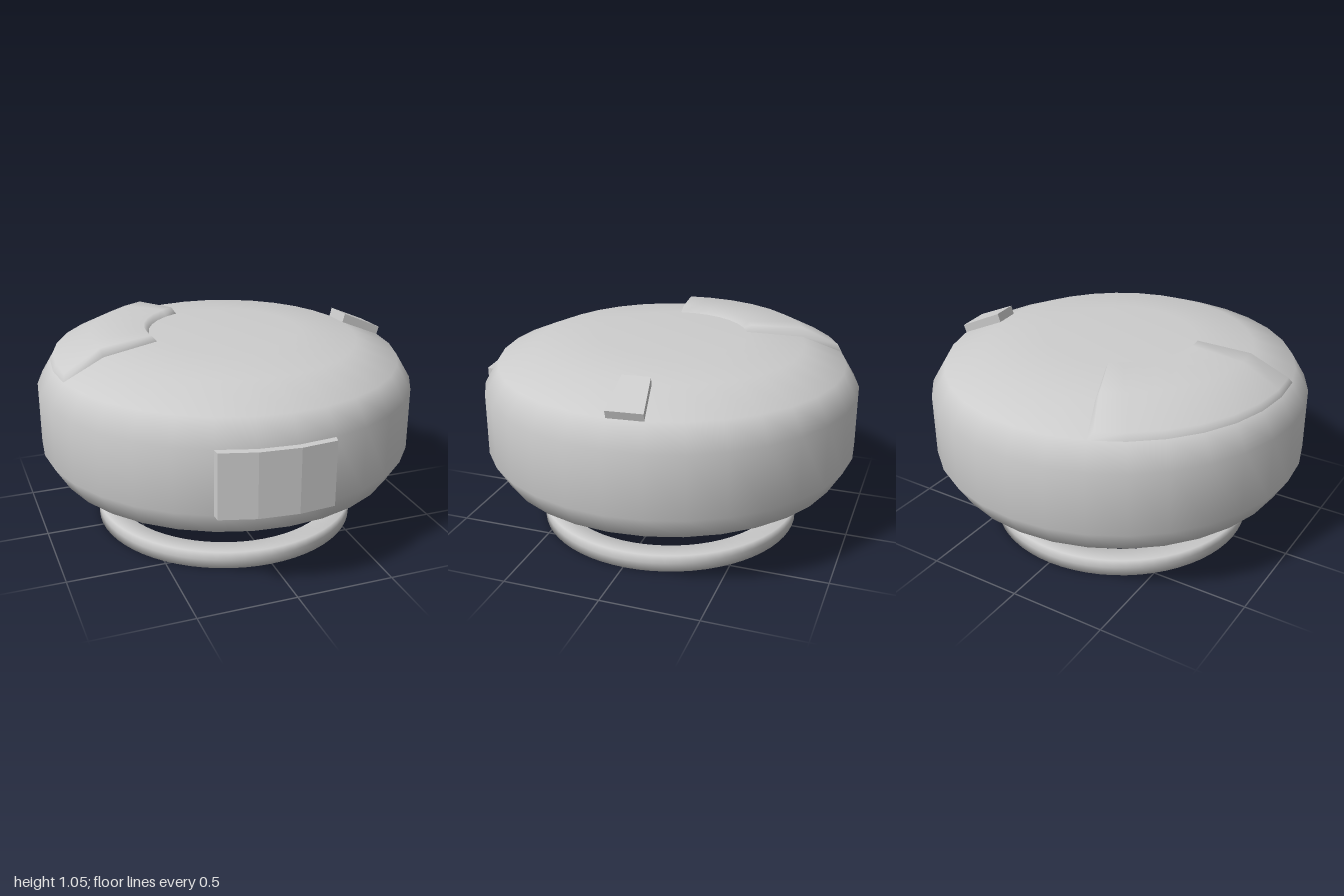
import * as THREE from 'three';

const STEP = Math.PI / 16; // one facet of the 32-sided body

// Raised panel over body facets: base and top are [radius, height] profiles listed upwards
function raisedPanel(base, top, firstFacet, facets, inset, smooth) {
  const rows = base.length, cols = facets + 1, pos = [], index = [];
  for (const [profile, cut] of [[base, 0], [top, inset]]) {
    for (const [r, y] of profile) {
      for (let i = 0; i < cols; i++) {
        const edge = i === 0 ? cut : i === facets ? -cut : 0;
        const a = (firstFacet + i) * STEP + edge;
        pos.push(r * Math.sin(a), y, r * Math.cos(a));
      }
    }
  }
  const n = rows * cols;
  const quad = (a, b, c, d) => index.push(a, b, c, a, c, d);
  for (let j = 0; j < rows - 1; j++) {
    for (let i = 0; i < facets; i++) {
      const k = n + j * cols + i;
      quad(k, k + 1, k + 1 + cols, k + cols);
    }
  }
  // Side walls around the outline
  const loop = [];
  for (let i = 0; i < facets; i++) loop.push(i);
  for (let j = 0; j < rows - 1; j++) loop.push(j * cols + facets);
  for (let i = facets; i > 0; i--) loop.push((rows - 1) * cols + i);
  for (let j = rows - 1; j > 0; j--) loop.push(j * cols);
  loop.forEach((p, k) => {
    const q = loop[(k + 1) % loop.length];
    quad(p, q, q + n, p + n);
  });
  let geo = new THREE.BufferGeometry();
  geo.setAttribute('position', new THREE.Float32BufferAttribute(pos, 3));
  geo.setIndex(index);
  if (!smooth) geo = geo.toNonIndexed();
  geo.computeVertexNormals();
  return geo;
}

const lathe = (points, sides) =>
  new THREE.LatheGeometry(points.map(([r, y]) => new THREE.Vector2(r, y)), sides);

export function createModel() {
  const model = new THREE.Group();
  const grey = new THREE.MeshStandardMaterial({ color: 0xcccccc });
  grey.name = 'light grey';
  const add = (name, geo, parent) => {
    const mesh = new THREE.Mesh(geo, grey);
    mesh.name = name;
    parent.add(mesh);
    return mesh;
  };

  // Rounded drum body with its panels
  const drum = new THREE.Group();
  drum.name = 'drum';
  drum.position.z = -0.02;
  model.add(drum);
  add('body', lathe([
    [0, 0.2], [0.39, 0.2], [0.69, 0.233], [0.905, 0.32], [0.98, 0.445],
    [0.98, 0.77], [0.905, 0.895], [0.69, 0.985], [0.39, 1.017], [0, 1.017],
  ], 32), drum);
  add('frontPlate', raisedPanel(
    [[0.98, 0.443], [0.98, 0.772]], [[1.016, 0.443], [1.016, 0.772]], -2, 3, 0.017, false), drum);
  add('sideButton', raisedPanel(
    [[0.905, 0.895], [0.69, 0.985]], [[0.918, 0.935], [0.703, 1.03]], 8, 1, 0, false), drum);
  add('topCover', raisedPanel(
    [[0.907, 0.895], [0.69, 0.985], [0.395, 1.017]],
    [[0.89, 0.93], [0.695, 1.028], [0.42, 1.05]], -14, 7, 0.03, true), drum);

  // Separate base ring, in two stacked halves
  const ring = new THREE.Group();
  ring.name = 'baseRing';
  ring.position.set(-0.005, 0, -0.012);
  model.add(ring);
  const inner = 0.595, outer = 0.695, mid = 0.045, high = 0.09;
  add('ringLower', lathe([[inner, mid], [inner, 0], [outer, 0], [outer, mid]], 64), ring);
  add('ringUpper', lathe([[outer, mid], [outer, high], [inner, high], [inner, mid]], 64), ring);

  return model;
}
